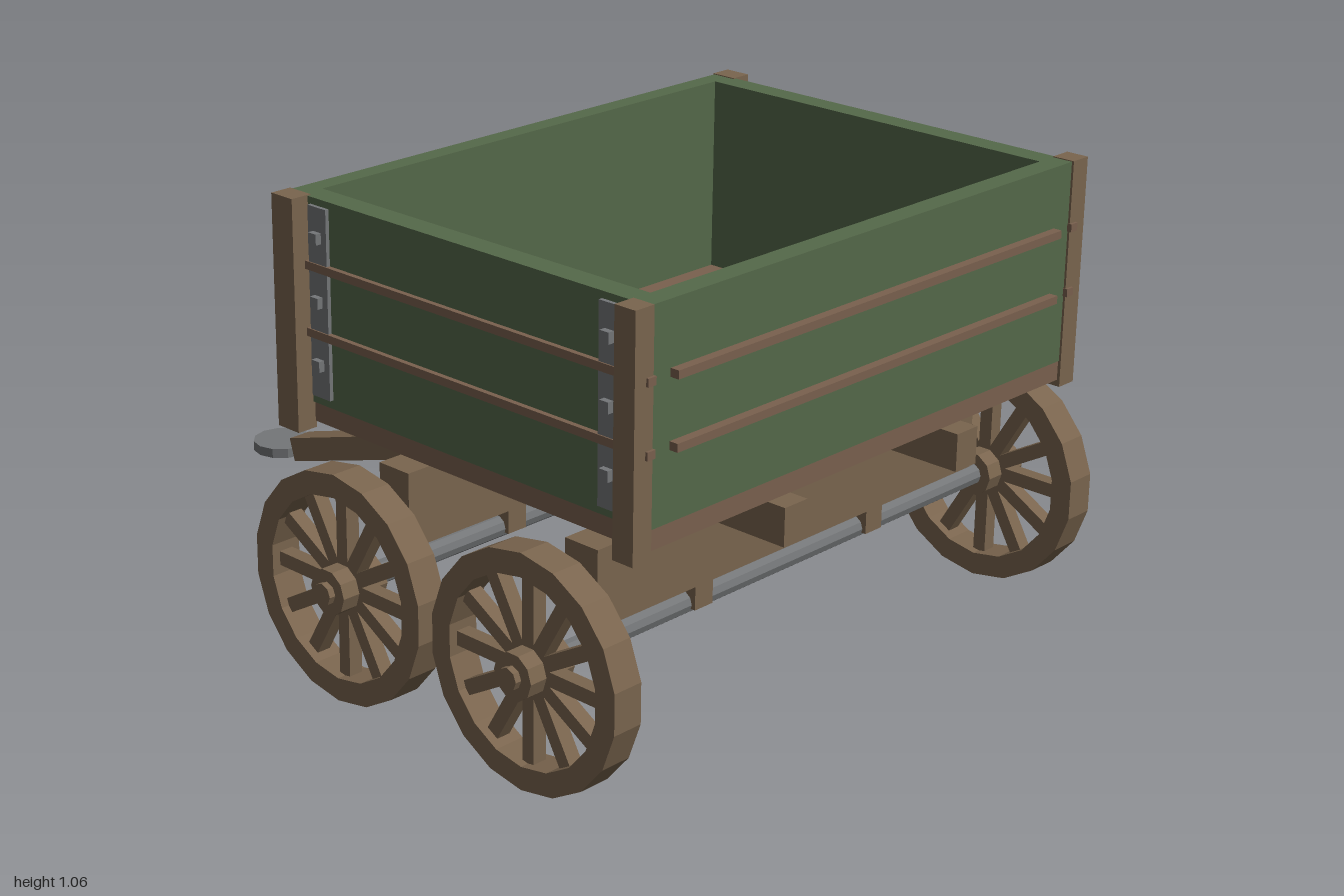
import * as THREE from 'three';

const mat = (name, color) => {
  const m = new THREE.MeshStandardMaterial({ color });
  m.name = name;
  return m;
};

export function createModel() {
  const wood = mat('wood', 0x7a654e);
  const plank = mat('plank wood', 0x7a614e);
  const green = mat('green paint', 0x55694a);
  const steel = mat('steel', 0x747678);
  const cart = new THREE.Group();
  cart.name = 'cart';

  // Adds a mesh with faceted normals
  const add = (parent, name, geometry, material) => {
    const g = geometry.index ? geometry.toNonIndexed() : geometry;
    g.computeVertexNormals();
    const mesh = new THREE.Mesh(g, material);
    mesh.name = name;
    parent.add(mesh);
    return mesh;
  };
  // Box given by its limits on each axis
  const box = (name, material, x0, x1, y0, y1, z0, z1) => {
    const m = add(cart, name, new THREE.BoxGeometry(x1 - x0, y1 - y0, z1 - z0), material);
    m.position.set((x0 + x1) / 2, (y0 + y1) / 2, (z0 + z1) / 2);
    return m;
  };
  // Cylinder lying along x
  const rod = (parent, name, material, r, x0, x1, sides) => {
    const g = new THREE.CylinderGeometry(r, r, x1 - x0, sides);
    g.rotateZ(Math.PI / 2);
    g.translate((x0 + x1) / 2, 0, 0);
    return add(parent, name, g, material);
  };

  // Tray: floor and four walls
  box('floor', plank, -0.66, 0.66, 0.555, 0.6, -0.07, 0.955);
  box('frontWall', green, -0.665, 0.665, 0.6, 1.055, 0.907, 0.957);
  box('backWall', green, -0.665, 0.665, 0.6, 1.055, -0.072, -0.027);
  for (const s of [-1, 1]) {
    const sideBox = (name, material, a, b, ...rest) =>
      box(name, material, Math.min(s * a, s * b), Math.max(s * a, s * b), ...rest);
    sideBox('sideWall', green, 0.61, 0.665, 0.6, 1.055, -0.027, 0.907);
    // Corner posts
    sideBox('frontPost', wood, 0.657, 0.708, 0.54, 1.057, 0.908, 0.962);
    sideBox('backPost', wood, 0.657, 0.708, 0.54, 1.057, -0.075, -0.01);
    // Side slats
    for (const y of [0.76, 0.908])
      sideBox('sideSlat', plank, 0.655, 0.677, y - 0.009, y + 0.009, -0.078, 0.968);
    // Steel straps with bolts
    for (const z of [0.027, 0.863]) {
      sideBox('strap', steel, 0.66, 0.674, 0.62, 1.04, z - 0.028, z + 0.028);
      for (const y of [0.695, 0.835, 0.975])
        sideBox('bolt', steel, 0.67, 0.688, y - 0.012, y + 0.012, z - 0.012, z + 0.012);
    }
    // Long beams under the floor
    sideBox('beam', wood, 0.243, 0.311, 0.47, 0.555, -0.11, 1);
  }
  for (const y of [0.76, 0.908])
    box('frontSlat', plank, -0.605, 0.605, y - 0.009, y + 0.009, 0.95, 0.978);

  // Wheel shapes
  const R = 0.259;
  const ring = (r) => Array.from({ length: 18 }, (_, i) => {
    const a = (i / 18) * Math.PI * 2 + Math.PI / 2;
    return new THREE.Vector2(Math.cos(a) * r, Math.sin(a) * r);
  });
  const rimShape = new THREE.Shape(ring(R));
  rimShape.holes.push(new THREE.Path(ring(0.207)));
  const rimGeo = new THREE.ExtrudeGeometry(rimShape, { depth: 0.074, bevelEnabled: false });
  rimGeo.translate(0, 0, -0.037);
  rimGeo.rotateY(Math.PI / 2);

  const makeWheel = () => {
    const wheel = new THREE.Group();
    wheel.name = 'wheel';
    add(wheel, 'rim', rimGeo, wood);
    for (let i = 0; i < 12; i++) {
      const g = new THREE.BoxGeometry(0.034, 0.18, 0.032);
      g.translate(0, 0.125, 0);
      g.rotateX((i * Math.PI) / 6);
      add(wheel, 'spoke', g, wood);
    }
    rod(wheel, 'hub', wood, 0.052, -0.062, 0.06, 10);
    rod(wheel, 'hubCap', wood, 0.025, 0.05, 0.075, 8);
    return wheel;
  };

  // Two axles with bolsters, blocks and wheels
  for (const z of [0.174, 0.726]) {
    box('bolster', wood, -0.605, 0.605, 0.31, 0.484, z - 0.045, z + 0.045);
    for (const x of [-0.277, 0.277])
      box('axleBlock', wood, x - 0.027, x + 0.027, 0.25, 0.315, z - 0.035, z + 0.035);
    rod(cart, 'axle', steel, 0.026, -0.7, 0.7, 10).position.set(0, R, z);
    for (const s of [-1, 1]) {
      const wheel = makeWheel();
      wheel.position.set(s * 0.737, R, z);
      if (s < 0) wheel.rotation.y = Math.PI;
      cart.add(wheel);
    }
  }

  // Sloping tongue and its hitch plate
  const tongue = add(cart, 'tongue', new THREE.BoxGeometry(0.066, 0.06, 0.99), wood);
  tongue.position.set(0, 0.209, -0.375);
  tongue.rotation.x = -Math.atan(0.302);
  const plate = add(cart, 'hitchPlate', new THREE.CylinderGeometry(0.074, 0.074, 0.024, 12), steel);
  plate.position.set(0, 0.053, -0.926);

  return cart;
}
